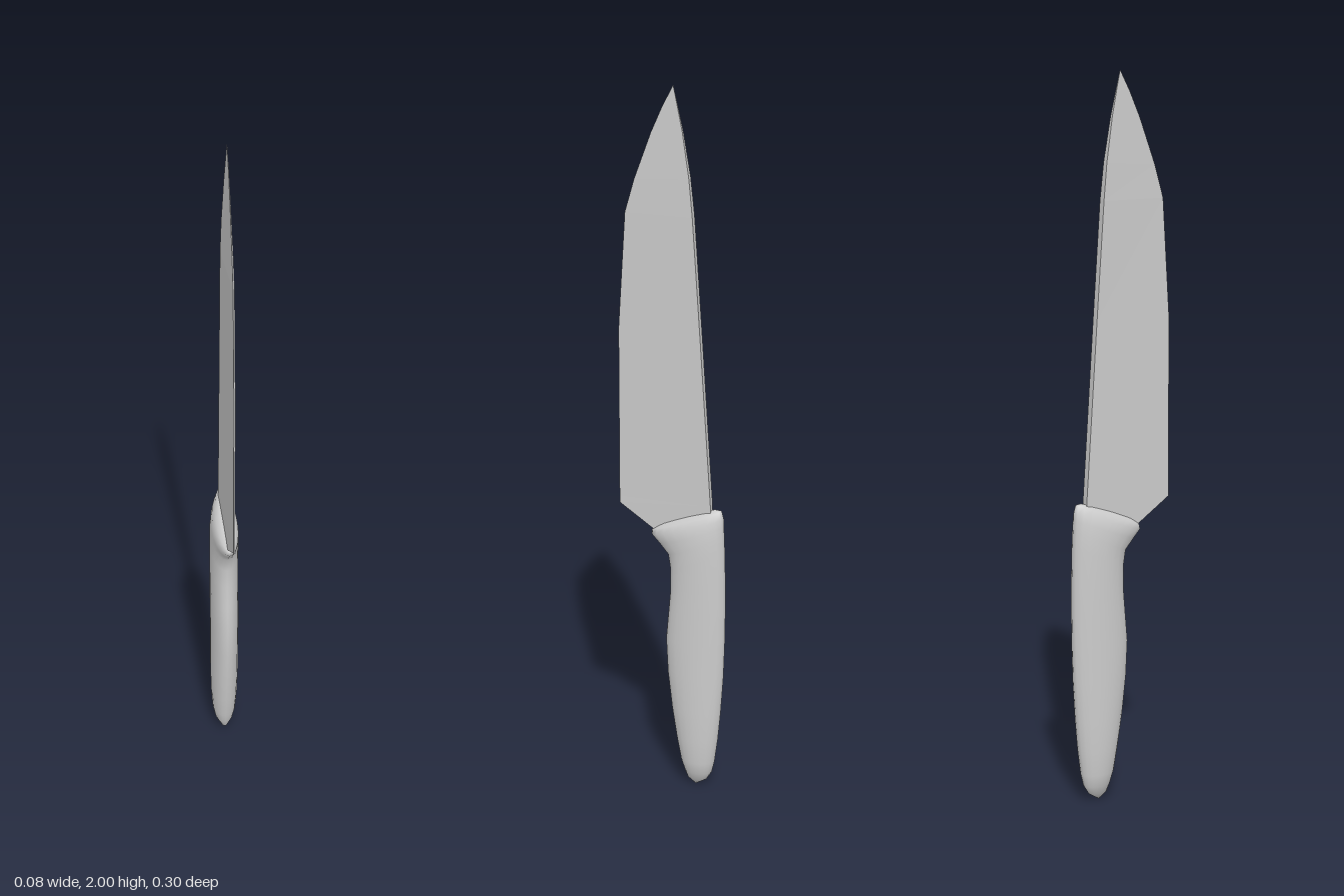
import * as THREE from 'three';

// Skins a stack of closed rings (listed bottom to top) and closes both ends on a point.
function loft(rings, bottom, top) {
  const n = rings[0].length;
  const points = [...rings.flat(), bottom, top];
  const index = [];
  const low = rings.length * n, high = low + 1, last = (rings.length - 1) * n;
  for (let j = 0; j < n; j++) {
    const k = (j + 1) % n;
    for (let i = 0; i < rings.length - 1; i++) {
      const a = i * n, b = a + n;
      index.push(a + j, a + k, b + k, a + j, b + k, b + j);
    }
    index.push(low, k, j, high, last + j, last + k);
  }
  const geometry = new THREE.BufferGeometry();
  geometry.setAttribute('position', new THREE.Float32BufferAttribute(points.flat(), 3));
  geometry.setIndex(index);
  geometry.computeVertexNormals();
  return geometry;
}

// Elliptical handle ring spanning from a front point to a back point.
function ovalRing([frontZ, frontY, backZ, backY, halfWidth], sides = 20) {
  return Array.from({ length: sides }, (_, j) => {
    const a = (j / sides) * Math.PI * 2;
    const t = (1 - Math.cos(a)) / 2;
    return [
      halfWidth * Math.sin(a),
      THREE.MathUtils.lerp(frontY, backY, t),
      THREE.MathUtils.lerp(frontZ, backZ, t),
    ];
  });
}

// Wedge-shaped blade ring: thin cutting edge in front, thicker spine behind.
function wedgeRing([edgeZ, edgeY, spineZ, spineY, spineHalf]) {
  const edgeHalf = spineHalf * 0.18;
  return [
    [-edgeHalf, edgeY, edgeZ], [edgeHalf, edgeY, edgeZ],
    [spineHalf, spineY, spineZ], [-spineHalf, spineY, spineZ],
  ];
}

export function createModel() {
  const group = new THREE.Group();

  // Handle rings: front z, front y, back z, back y, half width
  const handleRings = [
    [-0.045, 0.02, -0.1, 0.02, 0.012],
    [-0.036, 0.045, -0.115, 0.045, 0.026],
    [-0.025, 0.08, -0.123, 0.08, 0.033],
    [-0.012, 0.15, -0.132, 0.15, 0.038],
    [0.002, 0.24, -0.14, 0.24, 0.04],
    [0.015, 0.35, -0.147, 0.35, 0.04],
    [0.02, 0.45, -0.15, 0.45, 0.04],
    [0.013, 0.53, -0.151, 0.55, 0.04],
    [0.007, 0.6, -0.15, 0.65, 0.04],
    [0.007, 0.66, -0.148, 0.73, 0.04],
    [0.014, 0.705, -0.146, 0.775, 0.04],
    [0.04, 0.735, -0.145, 0.805, 0.038],
    [0.062, 0.758, -0.144, 0.825, 0.035],
    [0.06, 0.772, -0.138, 0.847, 0.026],
    [0.035, 0.79, -0.122, 0.849, 0.014],
  ].map((row) => ovalRing(row));
  const handle = new THREE.Mesh(
    loft(handleRings, [0, 0, -0.068], [0, 0.828, -0.05]),
    new THREE.MeshStandardMaterial({ color: 0xcccccc }),
  );
  handle.name = 'handle';

  // Blade rings: edge z, edge y, spine z, spine y, spine half width
  const bladeRings = [
    [0.153, 0.84, -0.115, 0.66, 0.011],
    [0.153, 0.86, -0.109, 0.86, 0.011],
    [0.152, 1.34, -0.077, 1.34, 0.011],
    [0.132, 1.66, -0.055, 1.66, 0.011],
    [0.106, 1.75, -0.045, 1.76, 0.009],
    [0.06, 1.875, -0.026, 1.88, 0.005],
    [0.029, 1.945, -0.012, 1.945, 0.0025],
  ].map(wedgeRing);
  const blade = new THREE.Mesh(
    loft(bladeRings, [0, 0.75, 0.019], [0, 2, 0]),
    new THREE.MeshStandardMaterial({ color: 0xcccccc, flatShading: true }),
  );
  blade.name = 'blade';

  group.add(handle, blade);
  return group;
}
